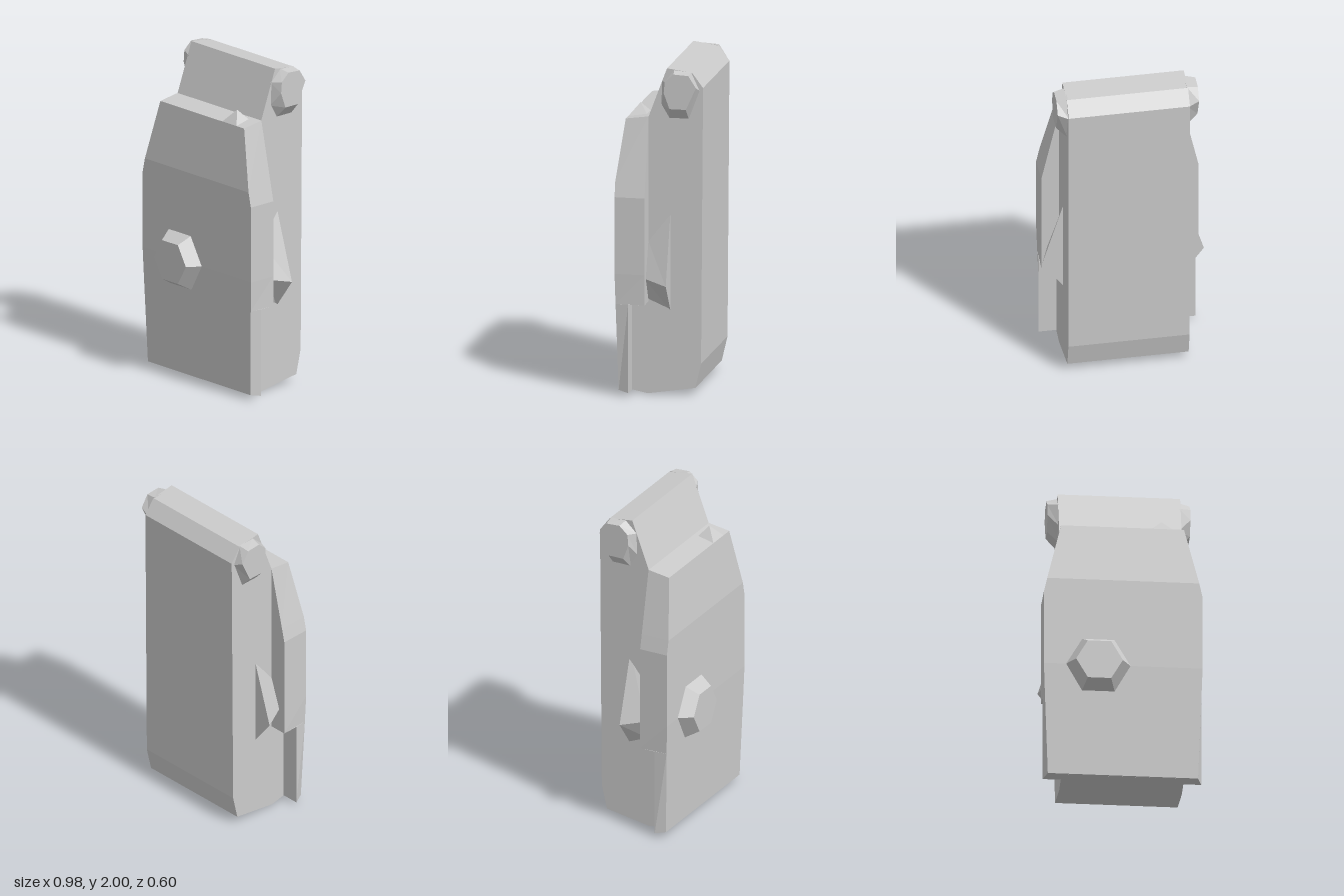
import * as THREE from 'three';

const material = new THREE.MeshStandardMaterial({ color: 0xcccccc, flatShading: true });

// Skin a list of equal-length rings, each counter-clockwise about the direction of travel, with capped ends.
function loft(name, rings) {
  const pos = [];
  const tri = (a, b, c) => pos.push(...a, ...b, ...c);
  const n = rings[0].length;
  for (let r = 0; r < rings.length - 1; r++) {
    const a = rings[r], b = rings[r + 1];
    for (let i = 0; i < n; i++) {
      const j = (i + 1) % n;
      tri(a[i], a[j], b[j]);
      tri(a[i], b[j], b[i]);
    }
  }
  const first = rings[0], last = rings[rings.length - 1];
  for (let i = 1; i < n - 1; i++) {
    tri(first[0], first[i + 1], first[i]);
    tri(last[0], last[i], last[i + 1]);
  }
  const geometry = new THREE.BufferGeometry();
  geometry.setAttribute('position', new THREE.Float32BufferAttribute(pos, 3));
  geometry.computeVertexNormals();
  const mesh = new THREE.Mesh(geometry, material);
  mesh.name = name;
  return mesh;
}

// Reflect rings across x, reversing their order to keep faces outward.
const mirrorX = (rings) => rings.map((r) => r.map(([x, y, z]) => [-x, y, z]).reverse());
// Place a (z, y) profile at a given x.
const atX = (x, profile) => profile.map(([z, y]) => [x, y, z]);

export function createModel() {
  const model = new THREE.Group();
  model.name = 'bag';
  const bag = new THREE.Group();
  bag.name = 'bagBody';
  bag.position.x = -0.004;
  model.add(bag);

  // Main body: side profile swept across the width
  const side = [
    [0.19, 0.033], [0.04, 0.003], [-0.25, 0.05], [-0.285, 0.2], [-0.297, 1.89],
    [-0.23, 1.98], [-0.077, 2], [0.037, 1.695],
  ];
  bag.add(loft('body', [atX(-0.367, side), atX(0.367, side)]));

  // Front panel: [front y, back y, front half width, back half width, front z, back z]
  const levels = [
    [0.035, 0.023, 0.45, 0.475, 0.2, 0.137],
    [0.565, 0.565, 0.469, 0.475, 0.215, 0.137],
    [0.565, 0.565, 0.469, 0.475, 0.215, 0.037],
    [0.75, 0.75, 0.475, 0.475, 0.22, 0.037],
    [1.22, 1.22, 0.475, 0.475, 0.22, 0.037],
    [1.31, 1.31, 0.455, 0.455, 0.22, 0.037],
    [1.68, 1.7, 0.368, 0.368, 0.175, 0.035],
  ];
  bag.add(loft('frontPanel', levels.map(([fy, by, fw, bw, fz, bz]) => [
    [fw, fy, fz], [bw, by, bz], [-bw, by, bz], [-fw, fy, fz],
  ])));

  // Faceted end caps of the rolled top
  const capBase = [
    [-0.04, 1.775], [-0.09, 1.69], [-0.21, 1.69], [-0.277, 1.87],
    [-0.225, 1.983], [-0.12, 1.992], [-0.045, 1.92],
  ];
  const capFace = [
    [-0.07, 1.86], [-0.105, 1.765], [-0.205, 1.765], [-0.267, 1.9],
    [-0.22, 1.973], [-0.13, 1.978], [-0.076, 1.93],
  ];
  const cap = [atX(0.36, capBase), atX(0.428, capFace)];
  bag.add(loft('leftRollCap', cap), loft('rightRollCap', mirrorX(cap)));

  // Triangular side folds
  const fold = [
    [[0.355, 0.51, -0.097], [0.49, 0.69, -0.097], [0.355, 1.13, -0.097]],
    [[0.355, 0.57, 0.045], [0.432, 0.72, 0.045], [0.355, 0.95, 0.045]],
  ];
  // Mirrored rings keep their travel direction along z
  model.add(loft('leftFold', fold), loft('rightFold', mirrorX(fold)));

  // Hexagonal stud on the front
  const stud = new THREE.Mesh(new THREE.CylinderGeometry(0.14, 0.196, 0.085, 6), material);
  stud.name = 'frontStud';
  stud.geometry.rotateY(Math.PI / 6).rotateX(Math.PI / 2);
  stud.position.set(-0.153, 0.75, 0.2575);
  model.add(stud);

  // Small pyramid on the panel's top ledge
  const peak = new THREE.Mesh(new THREE.ConeGeometry(0.0625 * Math.SQRT2, 0.075, 4), material);
  peak.name = 'ledgePeak';
  peak.geometry.rotateY(Math.PI / 4);
  peak.position.set(0.234, 1.717, 0.112);
  model.add(peak);

  return model;
}
